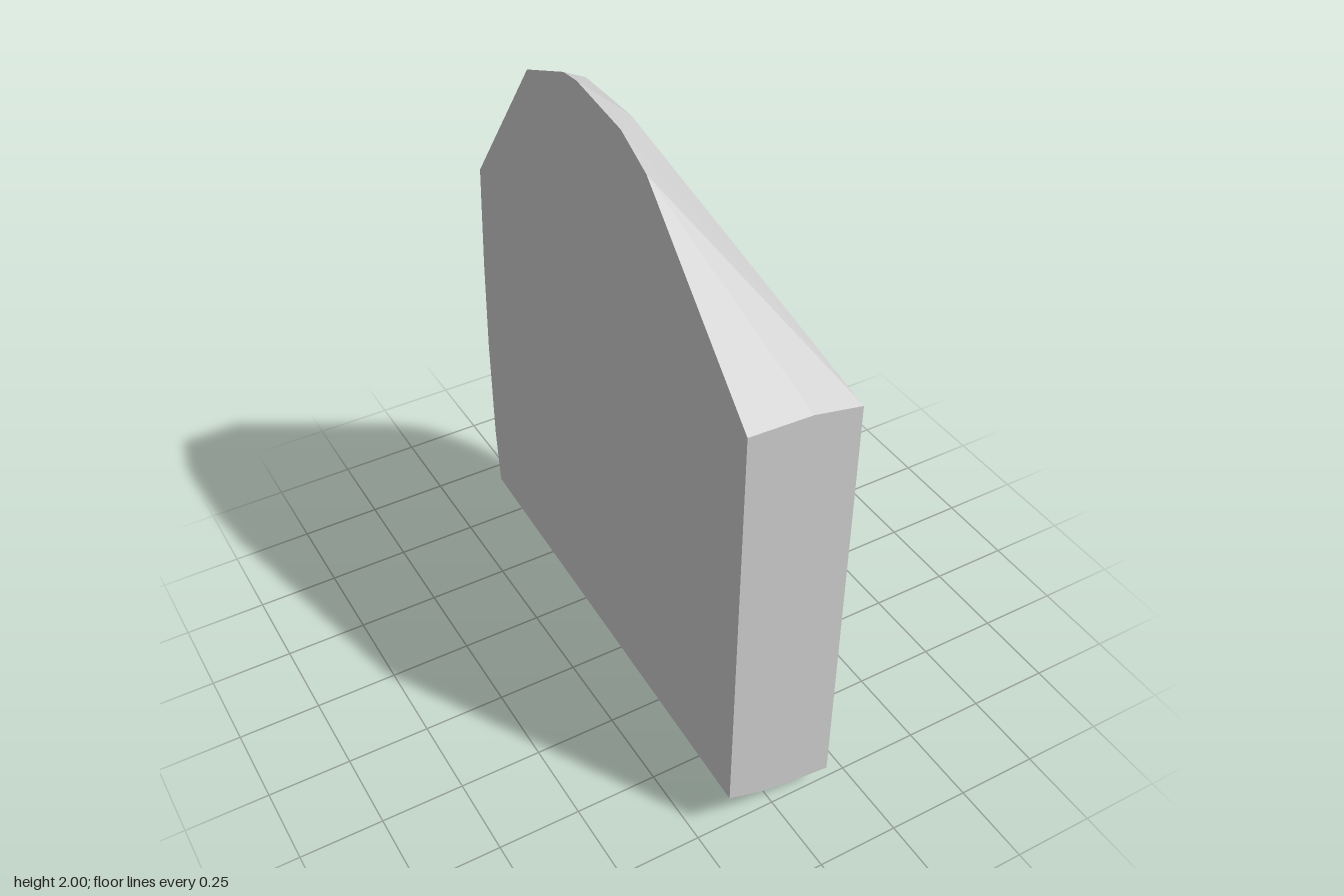
import * as THREE from 'three';
import { ConvexGeometry } from 'three/addons/geometries/ConvexGeometry.js';

const HALF = 0.167; // half thickness of the slab

// Outline of the broad left face, as [z, y]
const leftFace = [
  [0.777, 0.08], [0.05, 0], [-0.05, 0.003], [-0.36, 0.045], [-0.58, 0.12], [-0.635, 0.16],
  [-0.74, 0.36], [-0.775, 0.57], [-0.745, 0.8], [-0.67, 1.0], [-0.6, 1.09],
  [-0.44, 1.24], [-0.18, 1.44], [0, 1.46], [0.4, 1.452], [0.62, 1.435], [0.777, 1.41],
];

// Outline of the taller right face, as [z, y]
const rightFace = [
  [0.777, 0.15], [-0.65, 0.26], [-0.668, 0.45], [-0.675, 0.8], [-0.668, 1.1],
  [-0.65, 1.44], [-0.305, 1.91], [-0.1, 1.993], [-0.03, 2], [0.19, 1.97],
  [0.31, 1.91], [0.777, 1.447],
];

// Corners between the two faces, as [x, y, z]: crown bevel and front edges
const between = [
  [-0.088, 1.945, -0.13], [-0.088, 1.945, 0.1], [-0.14, 1.98, -0.07],
  [0.02, 1.44, 0.777], [-0.05, 0.112, 0.777], [0.04, 0.095, 0.777],
];

export function createModel() {
  const stone = new THREE.MeshStandardMaterial({ color: 0xcccccc });
  stone.name = 'pale grey stone';

  const corners = [
    ...leftFace.map(([z, y]) => new THREE.Vector3(HALF, y, z)),
    ...rightFace.map(([z, y]) => new THREE.Vector3(-HALF, y, z)),
    ...between.map((p) => new THREE.Vector3(...p)),
  ];

  // Faceted solid stretched over all corners
  const slab = new THREE.Mesh(new ConvexGeometry(corners), stone);
  slab.name = 'stoneSlab';

  const model = new THREE.Group();
  model.name = 'stoneShard';
  model.add(slab);
  return model;
}
